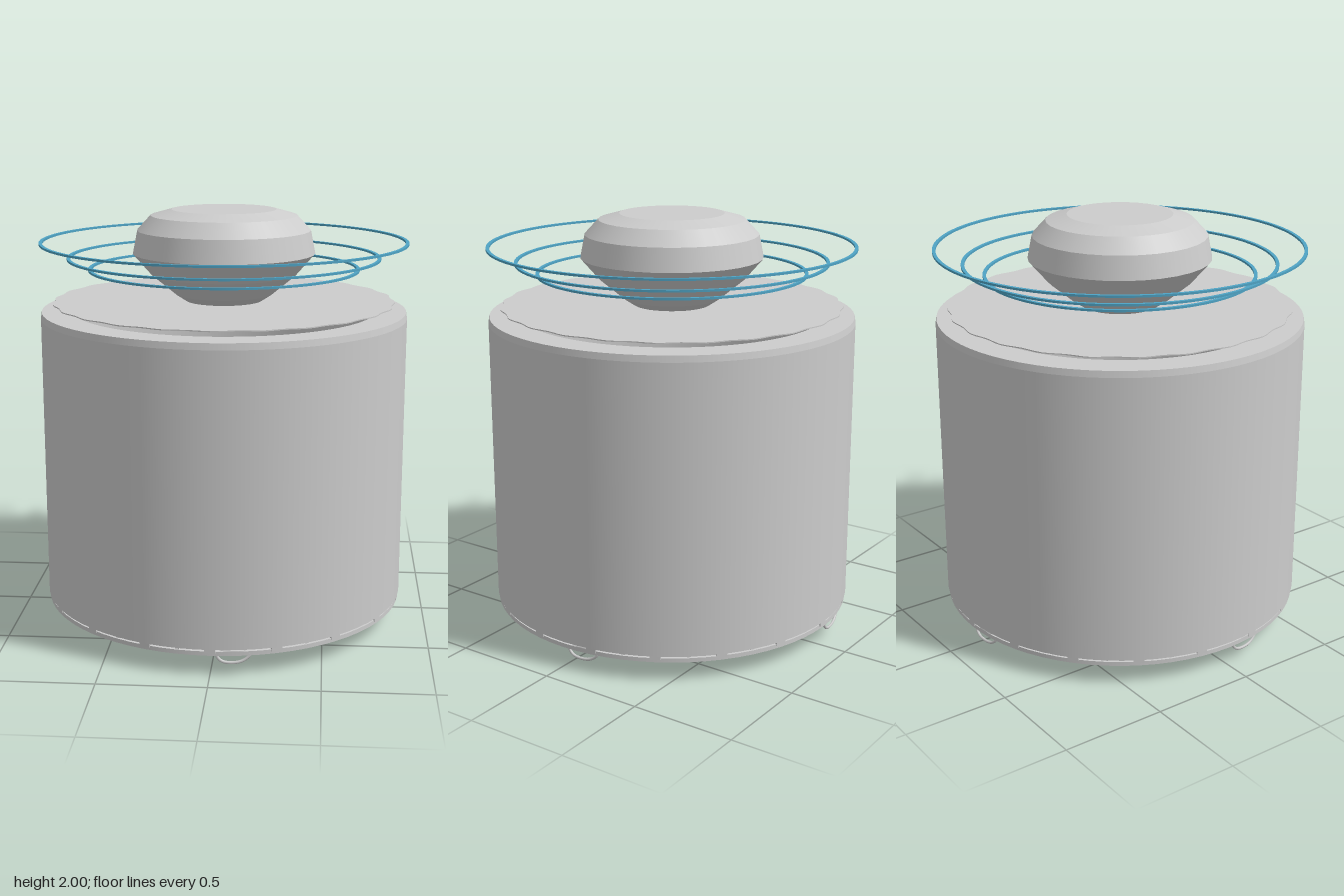
import * as THREE from 'three';

const grey = new THREE.MeshStandardMaterial({ color: 0xcccccc, side: THREE.DoubleSide });
grey.name = 'pale grey';
const blue = new THREE.MeshStandardMaterial({ color: 0x4fa3c4, side: THREE.DoubleSide });
blue.name = 'ring blue';
const V = (x, y) => new THREE.Vector2(x, y);

export function createModel() {
  const model = new THREE.Group();

  const add = (name, geo, mat = grey, parent = model) => {
    const m = new THREE.Mesh(geo, mat);
    m.name = name;
    parent.add(m);
    return m;
  };
  // Each profile segment is its own lathe so that edges stay sharp
  const turned = (name, pts, sides, mat = grey) => {
    const g = new THREE.Group();
    g.name = name;
    for (let i = 0; i < pts.length - 1; i++) {
      add(name + 'Band', new THREE.LatheGeometry([V(...pts[i]), V(...pts[i + 1])], sides), mat, g);
    }
    model.add(g);
    return g;
  };

  // Duct: outer wall, top lip and inner throat down to the fan ceiling
  turned('ductOuterWall', [[0.88, 0.125], [0.88, 1.49], [0.875, 1.52]], 72);
  turned('ductTopLip', [[0.875, 1.52], [0.73, 1.52], [0.73, 1.46]], 72);
  turned('ductInnerWall', [[0.865, 0.46], [0.865, 0.125], [0.88, 0.125]], 72);

  // Fan chamber ceiling with a shallow bell and a central hub
  turned('chamberCeiling', [[0.865, 0.46], [0.56, 0.46], [0.54, 0.42], [0.5, 0.42],
    [0.44, 0.5], [0.3, 0.53], [0.14, 0.46], [0.09, 0.3], [0.08, 0.13]], 48);

  // Bottom flange, separated from the wall by a slotted gap
  turned('bottomFlange', [[0.73, 0.115], [0.73, 0.095], [0.875, 0.095], [0.875, 0.115], [0.73, 0.115]], 72);

  // Guide vanes and slot posts around the chamber
  const vanes = new THREE.Group();
  vanes.name = 'guideVanes';
  model.add(vanes);
  for (let i = 0; i < 36; i++) {
    const a = (i / 36) * Math.PI * 2;
    const vane = add('guideVane', new THREE.BoxGeometry(0.018, 0.355, 0.13), grey, vanes);
    vane.position.set(Math.sin(a) * 0.8, 0.285, Math.cos(a) * 0.8);
    vane.rotation.y = a;
    if (i % 2) continue;
    const post = add('slotPost', new THREE.BoxGeometry(0.05, 0.02, 0.02), grey, vanes);
    post.position.set(Math.sin(a) * 0.867, 0.117, Math.cos(a) * 0.867);
    post.rotation.y = a;
  }

  // Propeller: pitched, rounded blades
  const bladeShape = new THREE.Shape();
  bladeShape.moveTo(-0.03, 0.04);
  bladeShape.bezierCurveTo(-0.1, 0.25, -0.17, 0.4, -0.14, 0.58);
  bladeShape.bezierCurveTo(-0.11, 0.7, 0.08, 0.7, 0.11, 0.58);
  bladeShape.bezierCurveTo(0.13, 0.4, 0.06, 0.2, 0.03, 0.04);
  const bladeGeo = new THREE.ExtrudeGeometry(bladeShape, { depth: 0.008, bevelEnabled: false, curveSegments: 10 });
  bladeGeo.rotateX(Math.PI / 2);
  bladeGeo.rotateZ(0.42);
  const propeller = new THREE.Group();
  propeller.name = 'propeller';
  propeller.position.y = 0.14;
  model.add(propeller);

  // Rounded wire loops hanging below the rim
  const loopPath = new THREE.CatmullRomCurve3([
    [0.03, 0.1], [0.05, 0.07], [0.1, 0.06], [0.15, 0.07], [0.18, 0.1], [0.1, 0.115],
  ].map(([x, y]) => new THREE.Vector3(x, y, Math.sqrt(0.868 ** 2 - x * x))), true);
  const loopGeo = new THREE.TubeGeometry(loopPath, 32, 0.007, 6, true);

  for (let i = 0; i < 4; i++) {
    const a = (i * Math.PI) / 2;
    add('blade', bladeGeo, grey, propeller).rotation.y = a;
    add('rimLoop', loopGeo).rotation.y = a;
  }

  // Pointed spinner under the hub
  add('spinner', new THREE.LatheGeometry(
    [V(0, 0), V(0.012, 0.012), V(0.03, 0.05), V(0.055, 0.1), V(0.08, 0.16), V(0.08, 0.2)], 24));

  // Thin cover plate with a slightly wavy edge
  const plate = new THREE.Shape();
  for (let i = 0; i < 144; i++) {
    const a = (i / 144) * Math.PI * 2;
    const r = 0.815 + 0.007 * Math.cos(a * 24);
    plate[i ? 'lineTo' : 'moveTo'](Math.cos(a) * r, Math.sin(a) * r);
  }
  const plateMesh = add('coverPlate', new THREE.ExtrudeGeometry(plate, { depth: 0.005, bevelEnabled: false }));
  plateMesh.rotation.x = -Math.PI / 2;
  plateMesh.position.y = 1.557;

  // Faceted head on an inverted cone
  turned('head', [[0, 1.52], [0.12, 1.52], [0.235, 1.595], [0.35, 1.69], [0.437, 1.79],
    [0.415, 1.9], [0.35, 1.97], [0.25, 1.998], [0, 2]], 32);

  // Floating rings
  [[0.88, 1.845], [0.75, 1.77], [0.65, 1.715]].forEach(([r, y]) => {
    const t = 0.005, w = 0.016;
    turned('floatingRing', [[r, y - t], [r, y + t], [r - w, y + t], [r - w, y - t], [r, y - t]], 96, blue);
  });

  return model;
}
